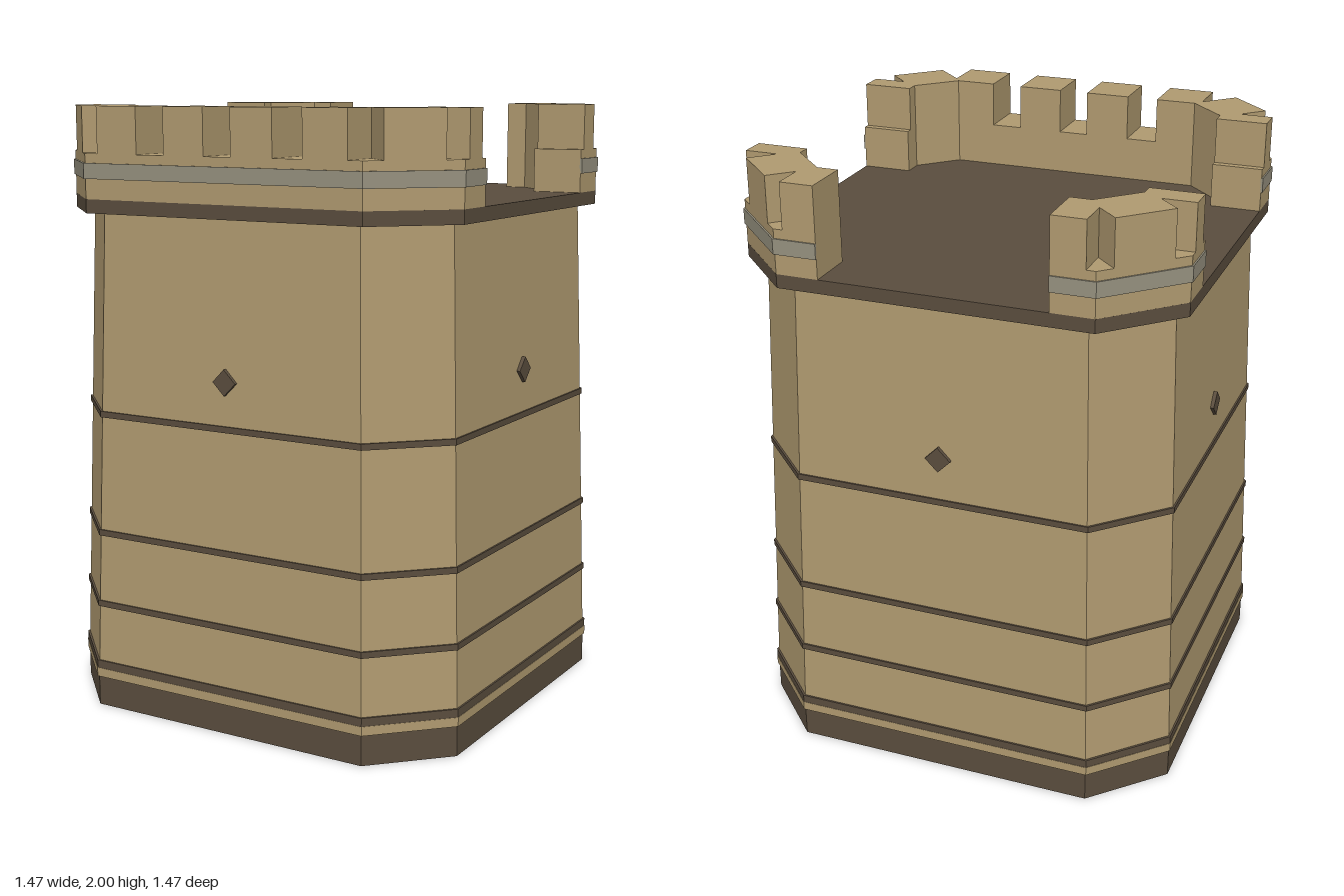
import * as THREE from 'three';

const tan = new THREE.MeshStandardMaterial({ color: 0xb09a70 });
tan.name = 'sandstone';
const dark = new THREE.MeshStandardMaterial({ color: 0x5a4d3e });
dark.name = 'dark brown';
const grey = new THREE.MeshStandardMaterial({ color: 0x96917f });
grey.name = 'pale grey';

// Square plan with cut corners; a is the half width
function octagon(a) {
  const c = a * 0.699;
  return [[c, a], [a, c], [a, -c], [c, -a], [-c, -a], [-a, -c], [-a, c], [-c, a]];
}

// Upright prism over an [x, z] outline, optionally tapering towards the top
function prism(name, points, y0, y1, material, topScale = 1) {
  const shape = new THREE.Shape(points.map(([x, z]) => new THREE.Vector2(x, -z)));
  const geo = new THREE.ExtrudeGeometry(shape, { depth: y1 - y0, bevelEnabled: false });
  geo.rotateX(-Math.PI / 2);
  const p = geo.attributes.position;
  for (let i = 0; i < p.count; i++) {
    const k = p.getY(i) > (y1 - y0) / 2 ? topScale : 1;
    p.setXYZ(i, p.getX(i) * k, p.getY(i) + y0, p.getZ(i) * k);
  }
  geo.computeVertexNormals();
  const mesh = new THREE.Mesh(geo, material);
  mesh.name = name;
  return mesh;
}

function box(name, w, h, d, x, y, z, material) {
  const mesh = new THREE.Mesh(new THREE.BoxGeometry(w, h, d), material);
  mesh.position.set(x, y, z);
  mesh.name = name;
  return mesh;
}

export function createModel() {
  const tower = new THREE.Group();
  tower.name = 'tower';

  // Foot, tapering body and roof slab
  tower.add(prism('foot', octagon(0.73), 0, 0.1, dark));
  tower.add(prism('body', octagon(0.73), 0.1, 1.66, tan, 0.68 / 0.73));
  tower.add(prism('footRing', octagon(0.735), 0.1, 0.13, tan));
  tower.add(prism('roofSlab', octagon(0.73), 1.66, 1.705, dark));

  // Dark bands around the body
  for (const [y0, y1] of [[0.13, 0.157], [0.346, 0.366], [0.59, 0.61], [0.99, 1.01]]) {
    const a = 0.735 - 0.05 * (y0 - 0.1) / 1.56;
    tower.add(prism('band', octagon(a), y0, y1, dark));
  }

  // Diamond loopholes, one on each wall
  for (let i = 0; i < 4; i++) {
    const side = new THREE.Group();
    side.name = 'loophole';
    const diamond = box('diamond', 0.06, 0.06, 0.02, 0, 1.15, 0.698, dark);
    diamond.rotation.z = Math.PI / 4;
    side.add(diamond);
    side.rotation.y = i * Math.PI / 2;
    tower.add(side);
  }

  // Corner parapets with notched battlements
  for (const sx of [-1, 1]) {
    for (const sz of [-1, 1]) {
      const front = sz > 0;
      const corner = new THREE.Group();
      corner.name = (front ? 'front' : 'back') + (sx > 0 ? 'Left' : 'Right') + 'Corner';
      const place = (points) => points.map(([x, z]) => [x * sx, z * sz]);

      const wall = [[0.37, 0.73], [0.51, 0.73], [0.73, 0.51], [0.73, 0.37],
        [0.56, 0.37], [0.56, 0.44], [0.44, 0.56], [0.37, 0.56]];
      corner.add(prism('parapet', place(wall), 1.705, 1.85, tan));

      const end = front ? 0.305 : 0.37;
      const notch = front
        ? [[0.46, 0.73], [0.46, 0.59], [0.555, 0.685]]
        : [[0.48, 0.73], [0.48, 0.62], [0.55, 0.69]];
      const merlons = [[end, 0.73], ...notch, [0.69, 0.55], [0.62, 0.48], [0.73, 0.48],
        [0.73, 0.395], [0.56, 0.395], [0.56, 0.44], [0.44, 0.56], [end, 0.56]];
      corner.add(prism('battlement', place(merlons), 1.85, 2, tan));

      // Pale stripe on the outer face
      const s = front ? 0 : 0.37;
      const stripe = [[s, 0.735], [0.513, 0.735], [0.735, 0.513], [0.735, 0.37],
        [0.727, 0.37], [0.727, 0.508], [0.508, 0.727], [s, 0.727]];
      corner.add(prism('stripe', place(stripe), 1.77, 1.82, grey));
      tower.add(corner);
    }
  }

  // Front parapet between the corners, with two middle merlons
  tower.add(box('frontParapet', 0.74, 0.145, 0.17, 0, 1.7775, 0.645, tan));
  for (const x of [-0.125, 0.125]) {
    tower.add(box('merlon', 0.15, 0.15, 0.17, x, 1.925, 0.645, tan));
  }

  return tower;
}
